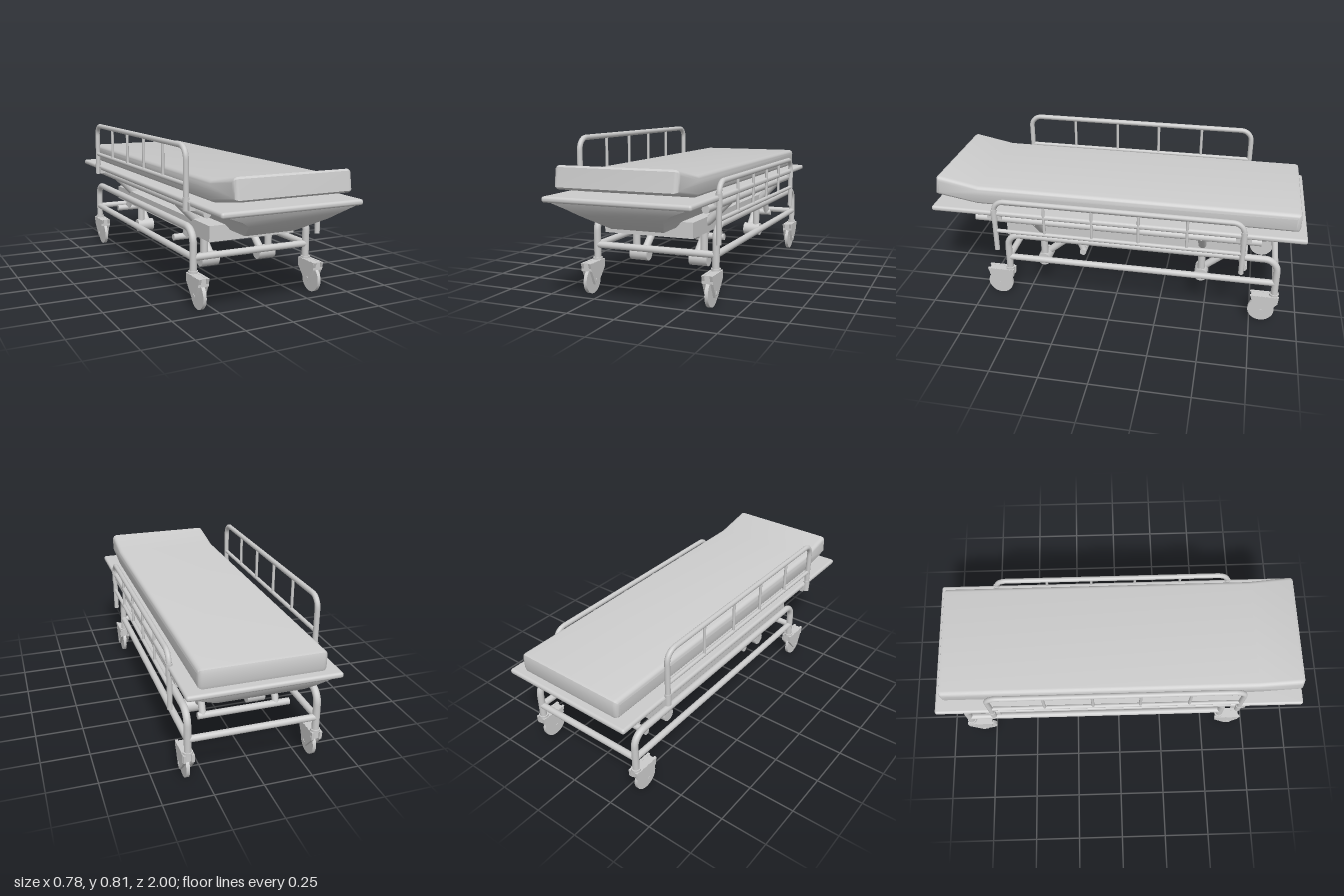
import * as THREE from 'three';
import { RoundedBoxGeometry } from 'three/addons/geometries/RoundedBoxGeometry.js';
import { toCreasedNormals } from 'three/addons/utils/BufferGeometryUtils.js';

const mat = new THREE.MeshStandardMaterial({ color: 0xcccccc });
const V = (x, y, z) => new THREE.Vector3(x, y, z);

function add(parent, name, geo, x = 0, y = 0, z = 0) {
  const m = new THREE.Mesh(geo, mat);
  m.name = name;
  m.position.set(x, y, z);
  parent.add(m);
  return m;
}

function group(parent, name, x = 0, y = 0, z = 0) {
  const g = new THREE.Group();
  g.name = name;
  g.position.set(x, y, z);
  parent.add(g);
  return g;
}

// straight round bar between two points
function rod(parent, name, a, b, r, sides = 16) {
  const d = b.clone().sub(a);
  const m = add(parent, name, new THREE.CylinderGeometry(r, r, d.length(), sides));
  m.position.copy(a).addScaledVector(d, 0.5);
  m.quaternion.setFromUnitVectors(V(0, 1, 0), d.normalize());
  return m;
}

// bent tube through corner points, each corner rounded, ends closed
function bentTube(parent, name, pts, r, bend, segments = 120) {
  const path = new THREE.CurvePath();
  let last = pts[0];
  for (let i = 1; i < pts.length - 1; i++) {
    const p = pts[i];
    const a = p.clone().add(pts[i - 1].clone().sub(p).setLength(bend));
    const b = p.clone().add(pts[i + 1].clone().sub(p).setLength(bend));
    const k = 0.55;
    path.add(new THREE.LineCurve3(last, a));
    path.add(new THREE.CubicBezierCurve3(a, a.clone().lerp(p, k), b.clone().lerp(p, k), b));
    last = b;
  }
  const end = pts[pts.length - 1];
  path.add(new THREE.LineCurve3(last, end));
  add(parent, name, new THREE.TubeGeometry(path, segments, r, 12));
  for (const [p, q] of [[pts[0], pts[1]], [end, pts[pts.length - 2]]])
    rod(parent, name + 'End', p, p.clone().add(q.clone().sub(p).setLength(0.004)), r, 12);
}

// side profile given as [z, y] points, extruded along x and centred on x = 0
function sideExtrude(points, width, bevel = 0) {
  const shape = new THREE.Shape(points.map(([z, y]) => new THREE.Vector2(-z, y)));
  const geo = new THREE.ExtrudeGeometry(shape, {
    depth: width - 2 * bevel, bevelEnabled: bevel > 0, bevelSize: bevel,
    bevelThickness: bevel, bevelOffset: -bevel, bevelSegments: 5, curveSegments: 8,
  });
  geo.translate(0, 0, bevel - width / 2).rotateY(Math.PI / 2);
  return toCreasedNormals(geo, 0.5);
}

// tapered bowl from rectangular rings [y, halfX, halfZ], top to bottom
function bowl(rings) {
  const pos = [], idx = [];
  for (const [y, hx, hz] of rings) pos.push(-hx, y, hz, hx, y, hz, hx, y, -hz, -hx, y, -hz);
  for (let i = 0; i < rings.length - 1; i++)
    for (let j = 0; j < 4; j++) {
      const a = i * 4 + j, b = i * 4 + (j + 1) % 4;
      idx.push(a, a + 4, b, b, a + 4, b + 4);
    }
  const n = (rings.length - 1) * 4;
  idx.push(n, n + 2, n + 1, n, n + 3, n + 2);
  const geo = new THREE.BufferGeometry();
  geo.setAttribute('position', new THREE.Float32BufferAttribute(pos, 3));
  geo.setIndex(idx);
  return toCreasedNormals(geo, 0.5);
}

function caster(parent, x, z) {
  const c = group(parent, 'caster', x, 0, z);
  add(c, 'collar', new THREE.CylinderGeometry(0.025, 0.025, 0.012, 16), 0, 0.171, 0);
  add(c, 'crown', new THREE.BoxGeometry(0.058, 0.04, 0.13), 0, 0.146, 0.05);
  const cheek = [[0.125, 0.167], [-0.025, 0.167], [-0.022, 0.125], [0.045, 0.05], [0.075, 0.05], [0.11, 0.125]];
  for (const s of [-1, 1]) add(c, 'forkCheek', sideExtrude(cheek, 0.014), s * 0.021, 0, 0);
  add(c, 'wheel', new THREE.CylinderGeometry(0.07, 0.07, 0.018, 32), 0, 0.07, 0.062).rotation.z = Math.PI / 2;
  rod(c, 'axle', V(-0.03, 0.07, 0.062), V(0.03, 0.07, 0.062), 0.012);
}

function sideRail(parent, name, x, lift) {
  const g = group(parent, name, x, lift, 0);
  const z0 = 0.645, z1 = -0.685;
  bentTube(g, 'railHoop', [V(0, 0.305, z0), V(0, 0.605, z0), V(0, 0.605, z1), V(0, 0.305, z1)], 0.014, 0.06);
  rod(g, 'railLowerBar', V(0, 0.425, z0), V(0, 0.425, z1), 0.011);
  for (const z of [0.37, 0.11, -0.14, -0.395])
    rod(g, 'railUpright', V(0, 0.425, z), V(0, 0.605, z), 0.008, 10);
  // fixed clamps that guide the sliding posts
  for (const z of [z0, z1]) {
    add(g, 'railSleeve', new THREE.CylinderGeometry(0.017, 0.017, 0.065, 16), 0, 0.522 - lift, z);
    add(g, 'railClamp', new THREE.BoxGeometry(0.03, 0.04, 0.08), -Math.sign(x) * 0.015, 0.515 - lift, z);
  }
}

export function createModel() {
  const root = new THREE.Group();
  root.name = 'stretcher';

  // mattress with raised head end
  const mattress = [[-0.965, 0.565], [-0.96, 0.548], [-0.945, 0.543], [0.76, 0.543], [0.985, 0.58],
    [0.997, 0.59], [0.983, 0.682], [0.97, 0.69], [0.75, 0.647], [-0.945, 0.647], [-0.96, 0.642], [-0.965, 0.625]];
  add(root, 'mattress', sideExtrude(mattress, 0.626, 0.025), 0.005, 0, 0);

  // bed plate and the bowl below it
  add(root, 'bedPlate', new RoundedBoxGeometry(0.756, 0.029, 2, 4, 0.013), 0.003, 0.529, 0);
  add(root, 'tray', bowl([[0.516, 0.346, 0.985], [0.485, 0.265, 0.97], [0.455, 0.215, 0.94], [0.37, 0.14, 0.775]]), 0.008, 0, 0);
  add(root, 'underPanel', new THREE.BoxGeometry(0.484, 0.08, 1.31), -0.005, 0.36, -0.025);

  // carrying frame under the bed
  const frame = group(root, 'bedFrame', 0.015, 0, 0);
  for (const s of [-1, 1])
    rod(frame, 'bedSideTube', V(s * 0.335, 0.49, 0.755), V(s * 0.335, 0.49, -0.775), 0.02);
  for (const z of [0.425, -0.47])
    bentTube(frame, 'bedArch', [V(-0.335, 0.49, z), V(-0.19, 0.343, z), V(0.19, 0.343, z), V(0.335, 0.49, z)], 0.022, 0.06, 60);

  // side rails: right one raised, left one lowered
  sideRail(root, 'leftRail', 0.374, 0);
  sideRail(root, 'rightRail', -0.377, 0.19);

  // wheeled base
  const base = group(root, 'baseFrame', 0.0125, 0, 0);
  const zf = 0.592, zb = -0.87;
  for (const s of [-1, 1]) {
    const x = s * 0.328;
    bentTube(base, 'baseHoop', [V(x, 0.165, zf), V(x, 0.386, zf), V(x, 0.386, zb), V(x, 0.165, zb)], 0.0185, 0.07);
    rod(base, 'baseLowerTube', V(x, 0.243, zf), V(x, 0.243, zb), 0.0175);
    for (const z of [zf, zb]) caster(base, x, z);
  }
  for (const z of [zf, zb]) rod(base, 'baseCrossTube', V(-0.328, 0.243, z), V(0.328, 0.243, z), 0.0175);

  // lifting linkage: rollers, struts and shafts
  const lift = group(root, 'liftLinkage', 0.02, 0, 0);
  for (const z of [0.425, -0.47]) {
    for (const s of [-1, 1]) {
      rod(lift, 'liftRoller', V(s * 0.12, 0.177, z), V(s * 0.22, 0.177, z), 0.037, 24);
      rod(lift, 'liftPost', V(s * 0.193, 0.18, z), V(s * 0.193, 0.345, z), 0.02);
      rod(lift, 'liftArm', V(s * 0.15, 0.185, z), V(s * 0.15, 0.35, z - 0.2), 0.02);
      rod(lift, 'liftStrut', V(s * 0.193, 0.25, z - 0.23), V(s * 0.193, 0.35, z - 0.19), 0.018);
    }
    rod(lift, 'liftShaft', V(-0.265, 0.25, z - 0.23), V(0.22, 0.25, z - 0.23), 0.018);
  }

  // central actuator
  const act = group(root, 'actuator', 0.018, 0, 0);
  add(act, 'actuatorBracket', new THREE.BoxGeometry(0.055, 0.06, 0.05), 0, 0.34, -0.19);
  add(act, 'actuatorHousing', new THREE.BoxGeometry(0.052, 0.04, 0.16), 0, 0.28, 0.06).rotation.x = 0.13;
  add(act, 'actuatorMotor', new THREE.BoxGeometry(0.048, 0.06, 0.07), 0, 0.285, -0.06);
  rod(act, 'actuatorRod', V(0, 0.282, 0.02), V(0, 0.325, -0.2), 0.013);
  return root;
}
